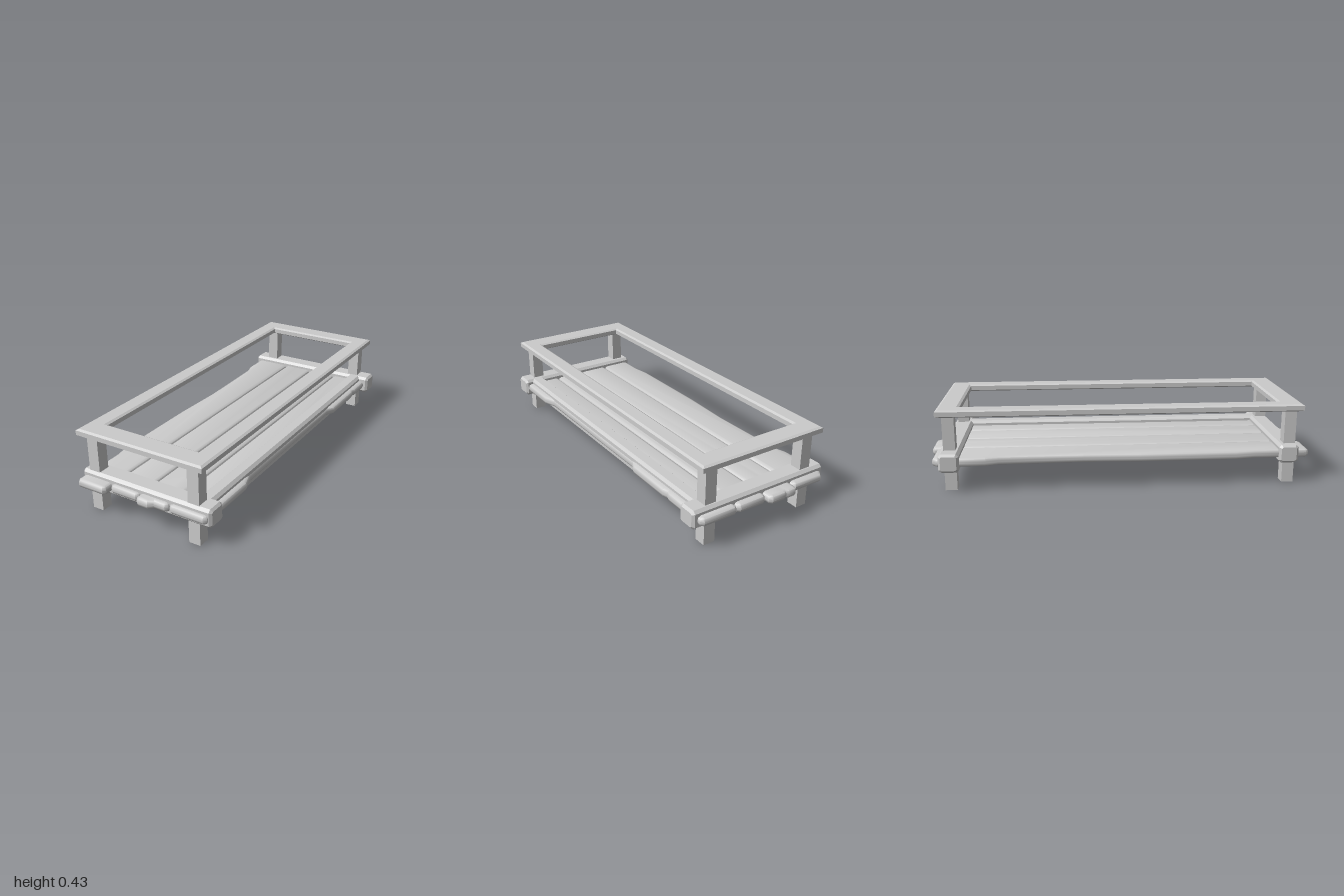
import * as THREE from 'three';
import { toCreasedNormals } from 'three/addons/utils/BufferGeometryUtils.js';

const material = new THREE.MeshStandardMaterial({ color: 0xcccccc });

function add(group, name, geometry) {
  const mesh = new THREE.Mesh(geometry, material);
  mesh.name = name;
  group.add(mesh);
}

// Horizontal slab from a counter-clockwise [x, z] outline, bevelled inward, between y0 and y1
function slab(outline, y0, y1, bevel, lift, segments, hole) {
  const toPoints = (list) => list.map(([x, z]) => new THREE.Vector2(x, -z));
  const shape = new THREE.Shape(toPoints(outline));
  if (hole) shape.holes.push(new THREE.Path(toPoints(hole)));
  const g = new THREE.ExtrudeGeometry(shape, {
    depth: y1 - y0 - 2 * lift,
    bevelEnabled: true,
    bevelSize: bevel,
    bevelOffset: -bevel,
    bevelThickness: lift,
    bevelSegments: segments,
  });
  g.rotateX(-Math.PI / 2);
  g.translate(0, y0 + lift, 0);
  return g;
}

const rect = (x0, x1, z0, z1) => [[x0, z1], [x1, z1], [x1, z0], [x0, z0]];

// Beam along x, chamfered on every edge
function beam(length, height, depth, chamfer) {
  const w = depth / 2, h = height / 2, c = chamfer;
  const shape = new THREE.Shape([
    [-w + c, -h], [w - c, -h], [w, -h + c], [w, h - c],
    [w - c, h], [-w + c, h], [-w, h - c], [-w, -h + c],
  ].map(([x, y]) => new THREE.Vector2(x, y)));
  const g = new THREE.ExtrudeGeometry(shape, {
    depth: length - 0.024, bevelEnabled: true, bevelSize: 0.012,
    bevelOffset: -0.012, bevelThickness: 0.012, bevelSegments: 1,
  });
  g.translate(0, 0, -(length - 0.024) / 2);
  return g.rotateY(Math.PI / 2);
}

export function createModel() {
  const group = new THREE.Group();

  // Rough-edged planks with clipped corners, outlines as [x, z]
  const planks = [
    [[-0.347, 0.978], [-0.335, 0.993], [-0.19, 0.993], [-0.176, 0.978],
      [-0.176, -0.957], [-0.19, -0.972], [-0.355, -0.972], [-0.378, -0.945],
      [-0.378, -0.7], [-0.36, -0.64], [-0.35, -0.2], [-0.362, 0.1], [-0.362, 0.6], [-0.347, 0.7]],
    [[-0.175, 0.942], [-0.16, 0.957], [-0.02, 0.957], [-0.005, 0.942], [-0.005, -0.985],
      [-0.02, -1.0], [-0.095, -1.0], [-0.108, -0.993], [-0.121, -1.0], [-0.16, -1.0], [-0.175, -0.985]],
    [[-0.004, 0.967], [0.011, 0.982], [0.068, 0.982], [0.09, 0.96], [0.15, 0.96], [0.165, 0.945],
      [0.165, -0.957], [0.15, -0.972], [0.011, -0.972], [-0.004, -0.957]],
    [[0.166, 0.942], [0.181, 0.957], [0.358, 0.957], [0.373, 0.942], [0.373, 0.6], [0.348, 0.53],
      [0.348, -0.35], [0.373, -0.4], [0.373, -0.66], [0.365, -0.685], [0.373, -0.71],
      [0.373, -0.957], [0.358, -0.972], [0.181, -0.972], [0.166, -0.957]],
  ];
  planks.forEach((outline, i) => {
    const g = slab(outline, 0.141, 0.188, 0.018, 0.02, 2);
    add(group, `plank${i + 1}`, toCreasedNormals(g, 0.8));
  });

  // Beams clamping the plank ends, and one along the left side
  const height = 0.098, midY = 0.166;
  add(group, 'frontBeam', beam(0.747, height, 0.105, 0.014).translate(0.0135, midY, 0.883));
  add(group, 'backBeam', beam(0.796, height, 0.105, 0.014).translate(0, midY, -0.885));
  add(group, 'sideBeam', beam(1.72, height, 0.078, 0.014).rotateY(Math.PI / 2).translate(0.304, midY, 0));

  // Four square posts
  for (const x of [-0.29, 0.287]) {
    for (const z of [-0.887, 0.892]) {
      add(group, 'post', new THREE.BoxGeometry(0.062, 0.41, 0.062).translate(x, 0.205, z));
    }
  }

  // Rectangular top rail, bevelled inside and out
  add(group, 'topRail', slab(
    rect(-0.362, 0.355, -0.945, 0.95), 0.396, 0.434, 0.012, 0.007, 1,
    rect(-0.268, 0.264, -0.833, 0.83)));

  return group;
}
